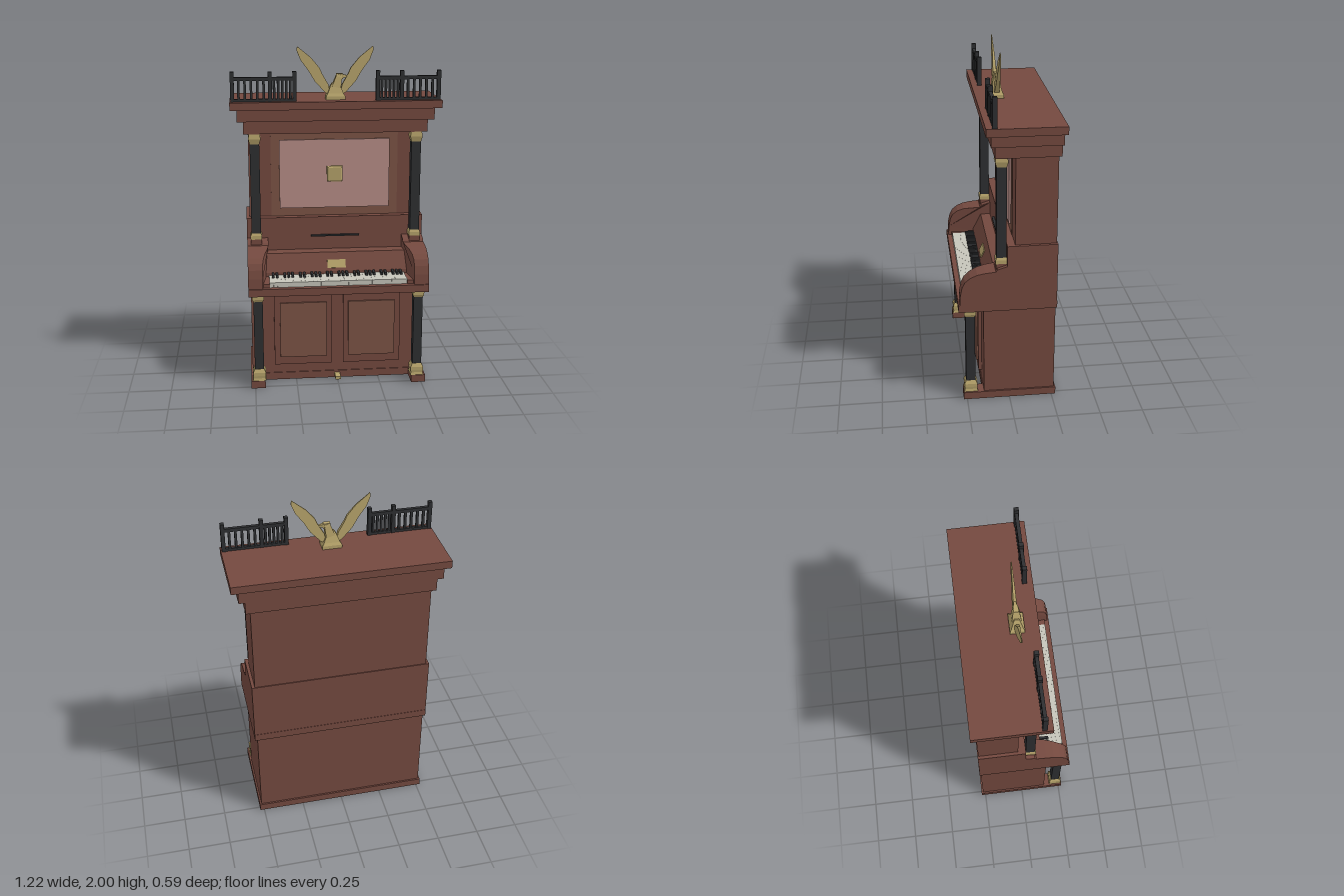
import * as THREE from 'three';

const mat = (color) => new THREE.MeshStandardMaterial({ color, flatShading: true });
const wood = mat(0x74493f), panelWood = mat(0x7c5446), black = mat(0x2e2f31);
const gold = mat(0xb5a26a), ivory = mat(0xc6c5ba), silk = mat(0xb78d87);

export function createModel() {
  const model = new THREE.Group();

  const add = (name, geo, m, parent = model) => {
    const mesh = new THREE.Mesh(geo, m);
    mesh.name = name;
    parent.add(mesh);
    return mesh;
  };
  const group = (name) => {
    const g = new THREE.Group();
    g.name = name;
    model.add(g);
    return g;
  };
  // box given by its limits
  const box = (name, x0, x1, y0, y1, z0, z1, m = wood, parent = model) => {
    const mesh = add(name, new THREE.BoxGeometry(x1 - x0, y1 - y0, z1 - z0), m, parent);
    mesh.position.set((x0 + x1) / 2, (y0 + y1) / 2, (z0 + z1) / 2);
    return mesh;
  };
  // square turned part from [half width, height] pairs, bottom to top
  const square = (name, pts, x, z, m, parent = model) => {
    const closed = [[0, pts[0][1]], ...pts, [0, pts[pts.length - 1][1]]];
    const geo = new THREE.LatheGeometry(
      closed.map(([r, y]) => new THREE.Vector2(r * Math.SQRT2, y)), 4, Math.PI / 4);
    const mesh = add(name, geo, m, parent);
    mesh.position.set(x, 0, z);
    return mesh;
  };
  // side profile of [z, y] pairs swept from x0 to x1
  const sweep = (pts, x0, x1) => {
    const shape = new THREE.Shape(pts.map(([z, y]) => new THREE.Vector2(z, y)));
    return new THREE.ExtrudeGeometry(shape, { depth: x1 - x0, bevelEnabled: false })
      .rotateY(-Math.PI / 2).translate(x1, 0, 0);
  };

  // case
  box('plinth', -0.525, 0.525, 0, 0.045, -0.275, 0.155);
  box('lowerCase', -0.515, 0.515, 0.045, 0.585, -0.265, 0.15);
  box('keyBed', -0.53, 0.53, 0.585, 0.63, -0.272, 0.293);
  box('middleCase', -0.53, 0.53, 0.63, 0.985, -0.27, 0.015);
  box('upperCase', -0.512, 0.512, 0.985, 1.505, -0.265, -0.03);
  box('corniceLower', -0.538, 0.538, 1.505, 1.58, -0.278, 0.085);
  box('corniceMiddle', -0.573, 0.573, 1.58, 1.65, -0.282, 0.11);
  box('corniceTop', -0.612, 0.612, 1.65, 1.695, -0.295, 0.14);

  // fall board behind the keys
  add('fallBoard', sweep([[0.01, 0.63], [0.125, 0.63], [0.125, 0.675], [0.075, 0.78], [0.01, 0.785]],
    -0.44, 0.44), wood);
  const plate = box('fallPlate', -0.055, 0.055, -0.025, 0.025, -0.004, 0.004, gold);
  plate.position.set(0, 0.716, 0.107);
  plate.rotation.x = -0.444;
  box('musicLedge', -0.145, 0.145, 0.866, 0.875, 0.01, 0.03, black);

  // upper front
  box('upperPanel', -0.38, 0.38, 0.985, 1.505, -0.032, -0.027, panelWood);
  box('silkPanel', -0.33, 0.33, 1.035, 1.45, -0.03, -0.016, silk);
  square('panelOrnament', [[0.047, 0], [0.047, 0.01], [0.038, 0.016]], 0, -0.016, gold)
    .rotation.x = Math.PI / 2;
  model.getObjectByName('panelOrnament').position.y = 1.243;

  // keyboard
  const keyboard = group('keyboard');
  const whites = 35, keyW = 0.81 / whites;
  for (let i = 0; i < whites; i++) {
    const x = -0.405 + i * keyW;
    box('whiteKey', x, x + keyW - 0.0003, 0.63, 0.66, 0.1, 0.263, ivory, keyboard);
    if (i > 0 && i % 7 !== 0 && i % 7 !== 3)
      box('blackKey', x - 0.007, x + 0.007, 0.655, 0.676, 0.1, 0.18, black, keyboard);
  }

  for (const s of [-1, 1]) {
    const side = s < 0 ? 'right' : 'left';

    // lower doors
    const span = (a, b) => (s < 0 ? [-b, -a] : [a, b]);
    box(side + 'Door', ...span(0.035, 0.38), 0.105, 0.55, 0.14, 0.17);
    box(side + 'DoorPanel', ...span(0.065, 0.345), 0.155, 0.5, 0.16, 0.18, panelWood);
    box(side + 'Foot', ...span(0.44, 0.525), 0, 0.045, 0.1, 0.27);

    // curved cheek, its inner face opening towards the front
    const cheek = sweep([[0, 0.63], [0.285, 0.63], [0.282, 0.69], [0.272, 0.74], [0.255, 0.775],
      [0.225, 0.8], [0.185, 0.818], [0.14, 0.826], [0.08, 0.832], [0.07, 0.845], [0.015, 0.862], [0, 0.862]],
      ...span(0.41, 0.53));
    const p = cheek.attributes.position;
    for (let i = 0; i < p.count; i++)
      if (Math.abs(p.getX(i)) < 0.5) p.setX(i, s * (0.405 + 0.04 * THREE.MathUtils.smoothstep(p.getZ(i), 0.08, 0.28)));
    cheek.computeVertexNormals();
    add(side + 'Cheek', cheek, wood);
    box(side + 'KeyBlock', ...span(0.405, 0.445), 0.63, 0.652, 0.05, 0.265);
    box(side + 'Pedestal', ...span(0.443, 0.507), 0.82, 0.87, 0.012, 0.076);

    // columns
    const x = s * 0.475;
    const lower = group(side + 'LowerColumn');
    square('base', [[0.04, 0.045], [0.036, 0.06], [0.038, 0.075], [0.038, 0.095], [0.028, 0.115]], x, 0.226, gold, lower);
    square('shaft', [[0.027, 0.11], [0.027, 0.545]], x, 0.226, black, lower);
    square('capital', [[0.027, 0.54], [0.034, 0.555], [0.034, 0.585]], x, 0.226, gold, lower);
    const upper = group(side + 'UpperColumn');
    square('base', [[0.034, 0.87], [0.034, 0.892], [0.028, 0.906]], x, 0.045, gold, upper);
    square('shaft', [[0.028, 0.9], [0.028, 1.45]], x, 0.045, black, upper);
    square('capital', [[0.027, 1.44], [0.036, 1.475], [0.032, 1.505]], x, 0.045, gold, upper);

    // railing
    const rail = group(side + 'Railing');
    const posts = [0.24, 0.38, 0.595], bars = [5, 5];
    for (const px of posts)
      box('post', s * px - 0.011, s * px + 0.011, 1.695, 1.865, 0.08, 0.106, black, rail);
    box('topRail', ...span(0.24, 0.595), 1.814, 1.834, 0.083, 0.103, black, rail);
    box('bottomRail', ...span(0.24, 0.595), 1.695, 1.71, 0.083, 0.103, black, rail);
    bars.forEach((n, k) => {
      for (let i = 1; i <= n; i++) {
        const bx = s * THREE.MathUtils.lerp(posts[k], posts[k + 1], i / (n + 1));
        box('baluster', bx - 0.007, bx + 0.007, 1.705, 1.82, 0.086, 0.1, black, rail);
      }
    });

    // wing, thinner towards the tip
    const outline = [[0.025, 1.715], [0.04, 1.78], [0.075, 1.84], [0.09, 1.875], [0.14, 1.935],
      [0.22, 2.0], [0.222, 1.975], [0.2, 1.92], [0.155, 1.86], [0.12, 1.8], [0.06, 1.735]];
    const wing = new THREE.ExtrudeGeometry(
      new THREE.Shape(outline.map(([a, b]) => new THREE.Vector2(s * a, b))),
      { depth: 1, bevelEnabled: false });
    const w = wing.attributes.position;
    for (let i = 0; i < w.count; i++) {
      const t = THREE.MathUtils.mapLinear(w.getY(i), 1.715, 2, 0.03, 0.004);
      w.setZ(i, 0.02 + (w.getZ(i) - 0.5) * t);
    }
    wing.computeVertexNormals();
    add(side + 'Wing', wing, gold);
  }

  // bird finial
  const bird = group('birdFinial');
  const body = square('body', [[0.056, 1.695], [0.056, 1.715], [0.046, 1.73], [0.03, 1.77], [0.018, 1.79]],
    0, 0.02, gold, bird);
  body.scale.z = 0.72;
  const neck = square('neck', [[0.026, 0], [0.018, 0.06], [0.014, 0.075]], 0.006, 0.02, gold, bird);
  neck.position.y = 1.765;
  neck.rotation.z = -0.25;
  box('head', 0.005, 0.045, 1.812, 1.842, 0.007, 0.033, gold, bird);
  const beak = square('beak', [[0.011, 0], [0.005, 0.028]], 0.042, 0.02, gold, bird);
  beak.position.y = 1.827;
  beak.rotation.z = -Math.PI / 2;

  // pedal
  box('pedal', -0.016, 0.016, 0.014, 0.032, 0.14, 0.22, gold);

  return model;
}
